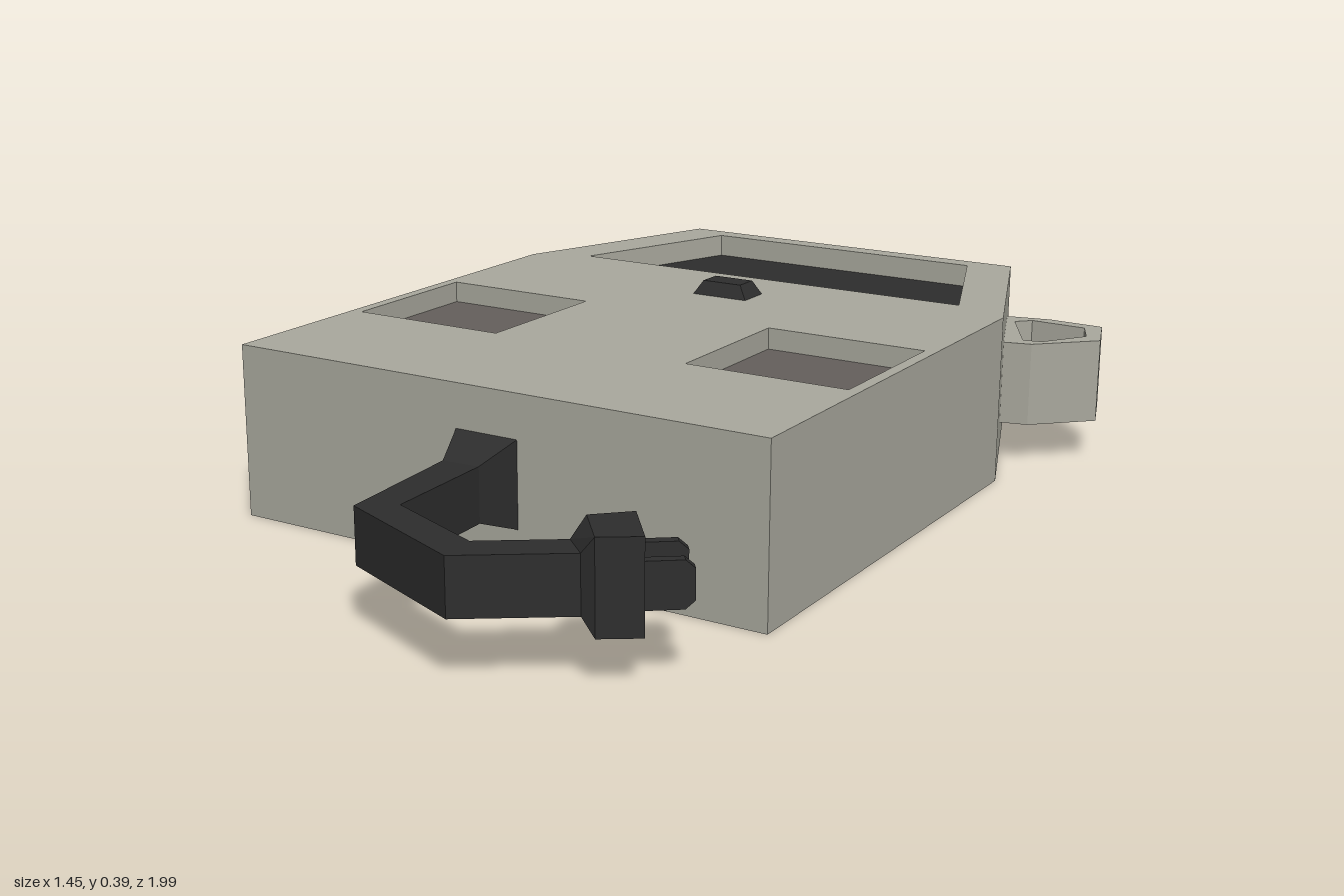
import * as THREE from 'three';

const bodyMat = new THREE.MeshStandardMaterial({ name: 'warmGrey', color: 0xa9a89d });
const darkMat = new THREE.MeshStandardMaterial({ name: 'charcoal', color: 0x2d2d2d });
const padMat = new THREE.MeshStandardMaterial({ name: 'brownGrey', color: 0x645f5c });

// Flat-shaded geometry from a list of quads, corners counter-clockwise from outside
function quads(list) {
  const pos = [];
  for (const [a, b, c, d] of list) pos.push(...a, ...b, ...c, ...a, ...c, ...d);
  const g = new THREE.BufferGeometry();
  g.setAttribute('position', new THREE.Float32BufferAttribute(pos, 3));
  g.computeVertexNormals();
  return g;
}

function add(parent, name, geo, mat) {
  const m = new THREE.Mesh(geo, mat);
  m.name = name;
  parent.add(m);
  return m;
}

// Horizontal face through [x, z] points, facing up or down
function face(points, y, up = true, holes = []) {
  const s = up ? -1 : 1;
  const vec = (pts) => pts.map(([x, z]) => new THREE.Vector2(x, s * z));
  const shape = new THREE.Shape(vec(points));
  for (const h of holes) shape.holes.push(new THREE.Path(vec(h)));
  const g = new THREE.ShapeGeometry(shape);
  g.rotateX(s * Math.PI / 2);
  g.translate(0, y, 0);
  return g;
}

// Vertical walls round an outline
function walls(points, y0, y1) {
  return quads(points.map((a, i) => {
    const b = points[(i + 1) % points.length];
    return [[a[0], y0, a[1]], [b[0], y0, b[1]], [b[0], y1, b[1]], [a[0], y1, a[1]]];
  }));
}

const mirror = (pts) => pts.map(([x, z]) => [-x, z]).reverse();

// Closed block with sunken pockets in its top
function pocketBlock(name, outline, y0, y1, pockets) {
  const g = new THREE.Group();
  g.name = name;
  add(g, name + 'Sides', walls(outline, y0, y1), bodyMat);
  add(g, name + 'Bottom', face(outline, y0, false), bodyMat);
  add(g, name + 'Top', face(outline, y1, true, pockets.map((p) => p.points)), bodyMat);
  for (const p of pockets) {
    add(g, p.name + 'Rim', walls([...p.points].reverse(), y1 - p.depth, y1), bodyMat);
    add(g, p.name, face(p.points, y1 - p.depth), p.mat);
  }
  return g;
}

// Box-section loft: each section is [leftX, leftZ, rightX, rightZ, halfHeight]
function loft(sections, y) {
  const rings = sections.map(([lx, lz, rx, rz, h]) => [
    [lx, y - h, lz], [rx, y - h, rz], [rx, y + h, rz], [lx, y + h, lz],
  ]);
  const list = [[...rings[0]].reverse(), rings[rings.length - 1]];
  for (let i = 0; i < rings.length - 1; i++) {
    for (let k = 0; k < 4; k++) {
      const n = (k + 1) % 4;
      list.push([rings[i][k], rings[i][n], rings[i + 1][n], rings[i + 1][k]]);
    }
  }
  return quads(list);
}

export function createModel() {
  const model = new THREE.Group();
  model.name = 'plugInCar';

  // Car-shaped housing with windscreen and two pads
  const outline = [[-0.6, 0.5], [0.6, 0.5], [0.6, -0.52], [0.42, -1], [-0.42, -1], [-0.6, -0.52]];
  const windscreen = [[-0.475, -0.575], [0.475, -0.575], [0.33, -0.955], [-0.33, -0.955]];
  const pad = [[0.225, 0.155], [0.575, 0.155], [0.575, -0.18], [0.225, -0.18]];
  model.add(pocketBlock('body', outline, 0, 0.36, [
    { name: 'windscreen', points: windscreen, depth: 0.05, mat: darkMat },
    { name: 'leftPad', points: pad, depth: 0.045, mat: padMat },
    { name: 'rightPad', points: mirror(pad), depth: 0.045, mat: padMat },
  ]));

  // Side mirrors
  const ear = [[0.53, -0.645], [0.61, -0.665], [0.725, -0.775], [0.685, -0.895], [0.56, -0.9], [0.45, -0.875]];
  const glass = [[0.58, -0.69], [0.62, -0.7], [0.685, -0.795], [0.655, -0.865], [0.53, -0.87], [0.5, -0.84]];
  for (const [side, flip] of [['left', (p) => p], ['right', mirror]]) {
    model.add(pocketBlock(side + 'Mirror', flip(ear), 0.09, 0.272, [
      { name: side + 'MirrorGlass', points: flip(glass), depth: 0.05, mat: darkMat },
    ]));
  }

  // Tapered button on the top
  const button = new THREE.CylinderGeometry(Math.SQRT1_2, 1, 0.03, 4, 1).toNonIndexed();
  button.rotateY(Math.PI / 4);
  button.scale(0.065 * Math.SQRT2, 1, 0.038 * Math.SQRT2);
  button.computeVertexNormals();
  add(model, 'button', button, darkMat).position.set(0, 0.375, -0.405);

  // Cable with flared strain relief, ending in the plug head
  add(model, 'cable', loft([
    [-0.073, 0.495, 0.07, 0.495, 0.09],
    [-0.035, 0.59, 0.043, 0.585, 0.055],
    [-0.01, 0.877, 0.055, 0.83, 0.055],
    [0.272, 0.993, 0.265, 0.915, 0.055],
    [0.452, 0.867, 0.4, 0.82, 0.055],
  ], 0.182), darkMat);
  add(model, 'plug', loft([
    [0.452, 0.867, 0.4, 0.82, 0.055],
    [0.48, 0.868, 0.408, 0.782, 0.088],
    [0.547, 0.822, 0.468, 0.723, 0.088],
  ], 0.182), darkMat);

  // Two flat prongs with tapered tips
  for (const [name, x, z] of [['innerProng', 0.475, 0.742], ['outerProng', 0.53, 0.813]]) {
    const at = (t, h) => {
      const cx = x + 0.79 * t, cz = z - 0.61 * t;
      return [cx + 0.006, cz + 0.008, cx - 0.006, cz - 0.008, h];
    };
    add(model, name, loft([at(-0.02, 0.043), at(0.075, 0.043), at(0.092, 0.028)], 0.182), darkMat);
  }
  return model;
}
